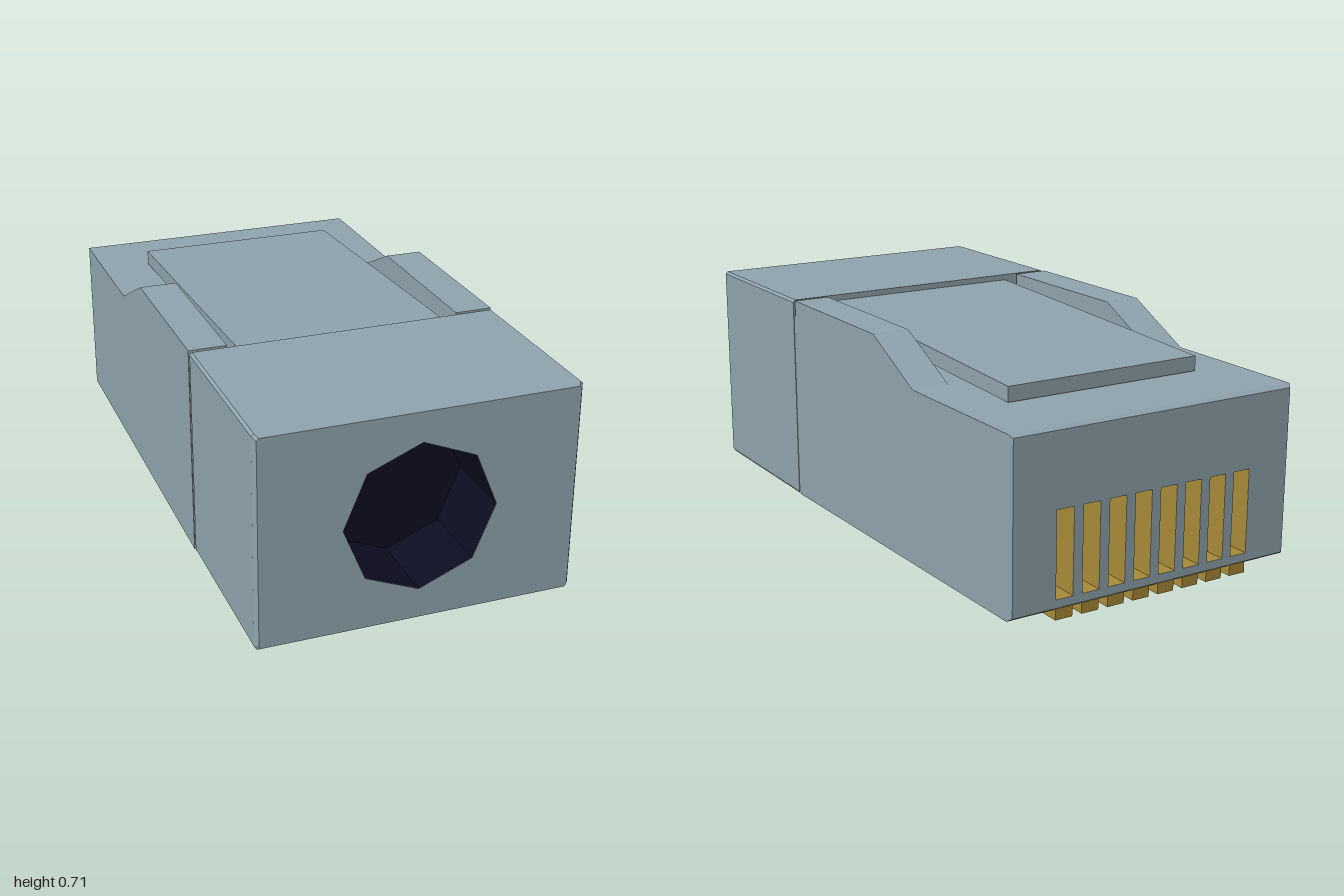
import * as THREE from 'three';

const shell = new THREE.MeshStandardMaterial({ color: 0x90a4ae });
shell.name = 'blue grey plastic';
const gold = new THREE.MeshStandardMaterial({ color: 0xa88a38 });
gold.name = 'gold';
const dark = new THREE.MeshStandardMaterial({ color: 0x0d0d22 });
dark.name = 'dark navy';

const HALF = 0.515, TOP = 0.71, FLOOR = 0.587, BOTTOM = 0.008;
const HOLE_Y = 0.357, HOLE_R = 0.245, HOLE_DEPTH = 0.25;
const SLOT = { w: 0.06, y0: 0.065, y1: 0.34, depth: 0.2 };
const contactX = Array.from({ length: 8 }, (_, i) => (i - 3.5) * 0.093);

function add(parent, name, geometry, material) {
  const mesh = new THREE.Mesh(geometry, material);
  mesh.name = name;
  parent.add(mesh);
  return mesh;
}

const shapeOf = (pts) => new THREE.Shape(pts.map(([x, y]) => new THREE.Vector2(x, y)));

// Extrude a cross-section through the given z stations; rule(v) then adjusts each vertex.
function stationExtrude(shape, stations, rule) {
  const steps = stations.length - 1;
  const g = new THREE.ExtrudeGeometry(shape, { depth: steps, steps, bevelEnabled: false });
  const p = g.attributes.position, v = new THREE.Vector3();
  for (let i = 0; i < p.count; i++) {
    v.fromBufferAttribute(p, i);
    v.z = stations[Math.round(v.z)];
    rule(v);
    p.setXYZ(i, v.x, v.y, v.z);
  }
  g.computeVertexNormals();
  return g;
}

// Turn a closed solid into the lining of a cavity.
function insideOut(geometry) {
  const g = geometry.toNonIndexed(), p = g.attributes.position;
  const a = new THREE.Vector3(), b = new THREE.Vector3();
  for (let i = 0; i < p.count; i += 3) {
    a.fromBufferAttribute(p, i + 1);
    b.fromBufferAttribute(p, i + 2);
    p.setXYZ(i + 1, b.x, b.y, b.z);
    p.setXYZ(i + 2, a.x, a.y, a.z);
  }
  g.computeVertexNormals();
  return g;
}

const bottomAt = (z) => BOTTOM + 0.02 * (0.375 - z) / 1.375;

function railTop(z) {
  if (z > -0.21) return TOP;
  return FLOOR;
}

function rearBody() {
  const r = 0.39;
  const section = shapeOf([
    [-HALF, BOTTOM], [HALF, BOTTOM], [HALF, TOP], [r, TOP],
    [r, FLOOR], [-r, FLOOR], [-r, TOP], [-HALF, TOP],
  ]);
  for (const x of contactX) {
    const a = x - SLOT.w / 2, b = x + SLOT.w / 2;
    section.holes.push(shapeOf([[a, SLOT.y0], [a, SLOT.y1], [b, SLOT.y1], [b, SLOT.y0]]));
  }
  return stationExtrude(section, [-1, -0.985, -0.45, -0.2, 0.375], (v) => {
    const chamfer = v.z < -0.99 ? 0.01 : 0;
    if (v.y > 0.7) v.y = railTop(v.z);
    if (v.y < 0.02) v.y = bottomAt(v.z) + chamfer;
    else if (v.y > 0.5) v.y -= chamfer;
    if (Math.abs(v.x) > 0.5) v.x -= Math.sign(v.x) * chamfer;
  });
}

function frontBody() {
  const c = 0.008;
  const section = shapeOf([
    [-HALF + c, BOTTOM - 0.004], [HALF - c, BOTTOM - 0.004], [HALF, BOTTOM + c], [HALF, TOP - c],
    [HALF - c, TOP], [-HALF + c, TOP], [-HALF, TOP - c], [-HALF, BOTTOM + c],
  ]);
  const hole = [];
  for (let i = 0; i < 8; i++) {
    const a = -i * Math.PI / 4;
    hole.push([HOLE_R * Math.cos(a), HOLE_Y + HOLE_R * Math.sin(a)]);
  }
  section.holes.push(shapeOf(hole));
  return stationExtrude(section, [0.39, 0.985, 1], (v) => {
    if (v.z < 0.99) return;
    if (Math.abs(v.x) > 0.4) {
      v.x -= Math.sign(v.x) * 0.01;
      v.y += v.y > 0.35 ? -0.01 : 0.01;
    }
  });
}

export function createModel() {
  const model = new THREE.Group();
  model.name = 'cablePlug';

  // Housing: rear part with side rails, front sleeve, and the notch between them
  add(model, 'rearBody', rearBody(), shell);
  add(model, 'frontSleeve', frontBody(), shell);
  const neck = add(model, 'notchFloor', new THREE.BoxGeometry(HALF * 2 - 0.004, 0.645, 0.025), shell);
  neck.position.set(0, 0.3325, 0.3825);

  // Latch tab between the rails, sloping down to the rear
  const tabProfile = shapeOf([[-0.39, 0.69], [-0.39, 0.635], [0.73, 0.591], [0.73, 0.64]]);
  const tab = new THREE.ExtrudeGeometry(tabProfile, { depth: 0.7, bevelEnabled: false });
  tab.translate(0, 0, -0.35).rotateY(Math.PI / 2);
  add(model, 'latchTab', tab, shell);

  // Cable entry: octagonal well
  const well = new THREE.Group();
  well.name = 'cableEntry';
  well.position.set(0, HOLE_Y, 1);
  model.add(well);
  const tube = new THREE.CylinderGeometry(HOLE_R - 0.001, HOLE_R - 0.001, HOLE_DEPTH, 8, 1, true);
  tube.rotateX(Math.PI / 2).translate(0, 0, -HOLE_DEPTH / 2);
  add(well, 'cableEntryWall', insideOut(tube), dark);
  add(well, 'cableEntryEnd', new THREE.CircleGeometry(HOLE_R, 8), dark).position.z = -HOLE_DEPTH;

  // Eight contacts: recessed slots at the rear and strips underneath
  const contacts = new THREE.Group();
  contacts.name = 'contacts';
  model.add(contacts);
  const lining = insideOut(new THREE.BoxGeometry(SLOT.w - 0.002, SLOT.y1 - SLOT.y0 - 0.002, SLOT.depth));
  const strip = new THREE.BoxGeometry(SLOT.w, 0.035, 0.728);
  for (const x of contactX) {
    add(contacts, 'contactSlot', lining, gold)
      .position.set(x, (SLOT.y0 + SLOT.y1) / 2, -1 + SLOT.depth / 2);
    add(contacts, 'contactStrip', strip, gold).position.set(x, 0.0175, -0.634);
  }
  return model;
}
